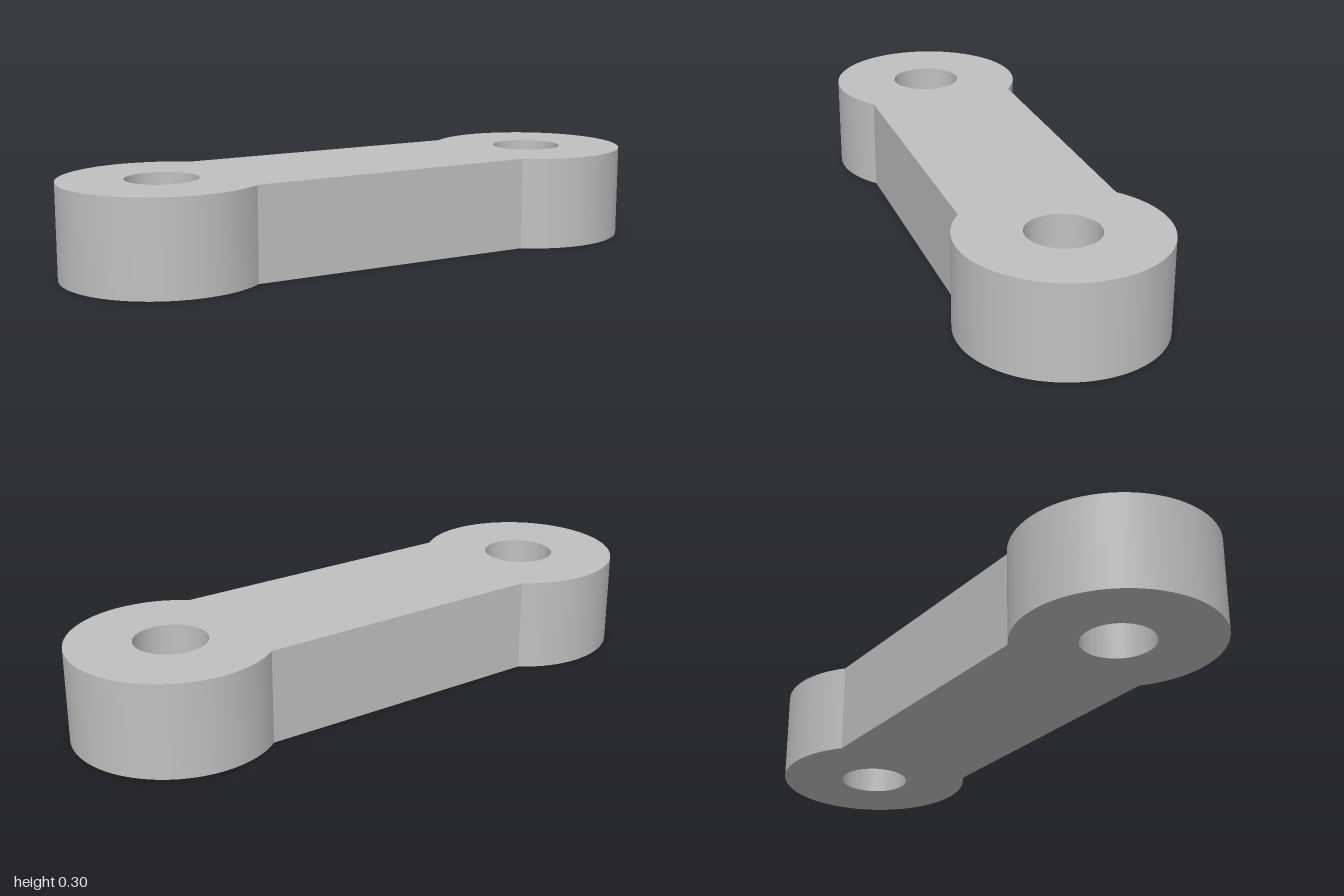
import * as THREE from 'three';
import { toCreasedNormals } from 'three/addons/utils/BufferGeometryUtils.js';

const HEIGHT = 0.3;
const BOSS_RADIUS = 0.318;
const BOSS_X = 1 - BOSS_RADIUS;
const HOLE_RADIUS = 0.114;
const BAR_HALF_WIDTH = 0.248;

export function createModel() {
  const model = new THREE.Group();
  model.name = 'linkArm';

  const grey = new THREE.MeshStandardMaterial({ color: 0xc0c0c0 });
  grey.name = 'grey';

  // Outline: two round ends joined by a straight bar
  const sweep = Math.PI - Math.asin(BAR_HALF_WIDTH / BOSS_RADIUS);
  const outline = new THREE.Shape();
  outline.absarc(BOSS_X, 0, BOSS_RADIUS, -sweep, sweep, false);
  outline.absarc(-BOSS_X, 0, BOSS_RADIUS, Math.PI - sweep, Math.PI + sweep, false);
  outline.closePath();

  // Pin hole through each end
  for (const side of [-1, 1]) {
    const hole = new THREE.Path();
    hole.absarc(side * BOSS_X, 0, HOLE_RADIUS, 0, Math.PI * 2, true);
    outline.holes.push(hole);
  }

  // Extrude upward, smooth round walls and keep the edges sharp
  const extruded = new THREE.ExtrudeGeometry(outline, {
    depth: HEIGHT, bevelEnabled: false, curveSegments: 48,
  });
  extruded.rotateX(-Math.PI / 2);
  const link = new THREE.Mesh(toCreasedNormals(extruded, 0.5), grey);
  link.name = 'linkBody';
  model.add(link);

  return model;
}
